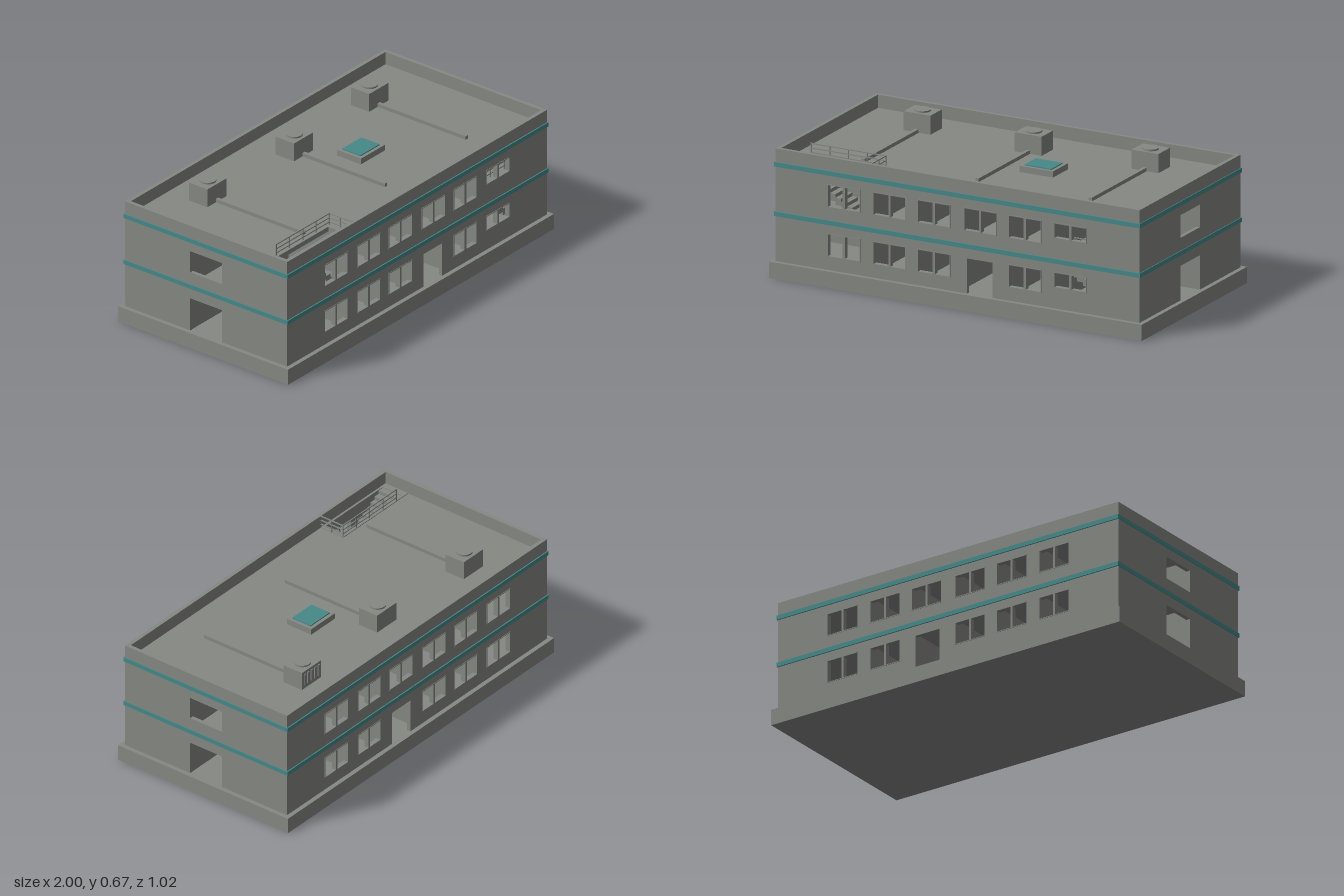
import * as THREE from 'three';

const grey = new THREE.MeshStandardMaterial({ color: 0x868884 });
grey.name = 'concreteGrey';
const teal = new THREE.MeshStandardMaterial({ color: 0x468a8a });
teal.name = 'tealTrim';

const X = 0.977, Z = 0.487, T = 0.02;      // outer half sizes and wall thickness
const BASE = 0.08, FLOOR2 = 0.325, ROOF = 0.57, TOP = 0.635;

// Rectangle given by its edges, as a Shape or as a hole
function rect(x0, x1, y0, y1, Type = THREE.Shape) {
  const s = new Type();
  s.moveTo(x0, y0);
  s.lineTo(x1, y0);
  s.lineTo(x1, y1);
  s.lineTo(x0, y1);
  s.closePath();
  return s;
}

// Flat panel [x0,x1,y0,y1] with rectangular holes, centred on its depth
function panel(name, edges, holes, depth, material = grey) {
  const shape = rect(...edges);
  holes.forEach(h => shape.holes.push(rect(...h, THREE.Path)));
  const geo = new THREE.ExtrudeGeometry(shape, { depth, bevelEnabled: false });
  geo.translate(0, 0, -depth / 2);
  const mesh = new THREE.Mesh(geo, material);
  mesh.name = name;
  return mesh;
}

// Horizontal panel: edges are x0,x1,z0,z1, resting between y0 and y1
function slab(name, edges, holes, y0, y1, material = grey) {
  const mesh = panel(name, edges, holes, y1 - y0, material);
  mesh.geometry.rotateX(Math.PI / 2);
  mesh.position.y = (y0 + y1) / 2;
  return mesh;
}

// Box given by its edges
function box(name, x0, x1, y0, y1, z0, z1, material = grey) {
  const mesh = new THREE.Mesh(new THREE.BoxGeometry(x1 - x0, y1 - y0, z1 - z0), material);
  mesh.name = name;
  mesh.position.set((x0 + x1) / 2, (y0 + y1) / 2, (z0 + z1) / 2);
  return mesh;
}

// Long wall with two rows of windows and a door; sideways small windows only on the front
function longWall(side) {
  const g = new THREE.Group();
  g.name = side > 0 ? 'frontWall' : 'backWall';
  const holes = [];
  [0.145, 0.388].forEach((sill, storey) => {
    [-0.61, -0.365, -0.127, 0.122, 0.361, 0.606].forEach((x, i) => {
      const head = sill + 0.115;
      if (storey === 0 && i === 3) {
        holes.push([0.05, 0.188, BASE, 0.253]);
        return;
      }
      const bottom = side > 0 && i === 5 ? sill + 0.037 : sill;
      const w = 0.088;
      holes.push([x - w, x + w, bottom, head]);
      const frame = panel('windowFrame', [x - w, x + w, bottom, head], [
        [x - w + 0.004, x - 0.006, bottom + 0.004, head - 0.004],
        [x + 0.006, x + w - 0.004, bottom + 0.004, head - 0.004],
      ], 0.025);
      frame.position.z = side * (Z - 0.01);
      g.add(frame);
    });
  });
  const wall = panel('wall', [-X, X, BASE - 0.001, TOP], holes, T);
  wall.position.z = side * (Z - T / 2);
  g.add(wall);
  return g;
}

// Short wall with a doorway below and a window above
function endWall(side) {
  const wall = panel(side > 0 ? 'leftWall' : 'rightWall', [-Z + T, Z - T, BASE - 0.001, TOP],
    [[-0.095, 0.095, BASE, 0.25], [-0.095, 0.095, 0.388, 0.5]], T);
  wall.rotation.y = Math.PI / 2;
  wall.position.x = side * (X - T / 2);
  return wall;
}

// Corridor walls and room partitions of one storey
function rooms(y0, y1, doors) {
  const g = new THREE.Group();
  g.name = 'rooms';
  for (const s of [-1, 1]) {
    const wall = panel('corridorWall', [-X + T, X - T, y0, y1],
      doors.map(d => [d[0], d[1], y0 + 0.001, y0 + 0.141]), 0.012);
    wall.position.z = s * 0.102;
    g.add(wall);
    for (const x of [-0.485, -0.245, -0.002, 0.242, 0.485]) {
      const z = [s * 0.108, s * (Z - T)].sort((a, b) => a - b);
      g.add(box('partition', x - 0.006, x + 0.006, y0, y1, z[0], z[1]));
    }
  }
  return g;
}

// Straight flight rising towards -x
function stairs(x0, x1, y0, y1) {
  const g = new THREE.Group();
  g.name = 'stairs';
  const n = 14, run = (x1 - x0) / n, rise = (y1 - y0) / n;
  for (let i = 0; i < n; i++) {
    const x = x1 - i * run, y = y0 + (i + 1) * rise;
    g.add(box('step', x - run, x, Math.max(y0, y - 2 * rise), y, 0.345, 0.455));
  }
  return g;
}

// Rail round a stair opening: along its inner side and across its closed end
function railing(x0, x1, y) {
  const g = new THREE.Group();
  g.name = 'railing';
  const r = 0.0025, h = 0.067, z0 = 0.335, z1 = 0.47;
  for (const k of [0.33, 0.66, 1]) {
    const yy = y + h * k;
    g.add(box('rail', x0, x1, yy - 2 * r, yy, z0 - r, z0 + r));
    g.add(box('rail', x1 - r, x1 + r, yy - 2 * r, yy, z0, z1));
  }
  for (let i = 0; i <= 4; i++) {
    const x = x0 + (x1 - x0) * i / 4;
    g.add(box('post', x - r, x + r, y, y + h, z0 - r, z0 + r));
  }
  for (const z of [z0 + 0.067, z1]) g.add(box('post', x1 - r, x1 + r, y, y + h, z - r, z + r));
  return g;
}

// Rooftop air unit with fan cap and duct
function airUnit(x, z, louvres) {
  const g = new THREE.Group();
  g.name = 'airUnit';
  g.add(box('unitBody', x - 0.072, x + 0.072, ROOF, 0.664, z - 0.055, z + 0.055));
  const cap = new THREE.Mesh(new THREE.CylinderGeometry(0.04, 0.04, 0.01, 24), grey);
  cap.name = 'fanCap';
  cap.position.set(x, 0.667, z);
  g.add(cap);
  g.add(box('duct', x - 0.009, x + 0.009, ROOF, ROOF + 0.018, z + 0.05, 0.3));
  if (louvres) for (let i = -2; i <= 2; i++) {
    const lx = x + i * 0.026;
    g.add(box('louvre', lx - 0.006, lx + 0.006, ROOF + 0.02, 0.65, z - 0.06, z - 0.054));
  }
  return g;
}

export function createModel() {
  const model = new THREE.Group();
  model.name = 'building';

  model.add(box('foundation', -1, 1, 0, BASE, -0.51, 0.51));
  for (const s of [-1, 1]) model.add(longWall(s), endWall(s));

  // Floors with stair openings
  const inner = [-X + T, X - T, -Z + T, Z - T];
  model.add(slab('upperFloor', inner, [[0.5, 0.93, 0.345, 0.455]], FLOOR2 - 0.02, FLOOR2));
  model.add(slab('roof', inner, [[-0.92, -0.49, 0.345, 0.455]], ROOF - 0.02, ROOF));

  // Teal bands round the outside
  for (const y of [0.303, 0.547]) {
    model.add(slab('band', [-0.981, 0.981, -0.493, 0.493],
      [[-X + 0.002, X - 0.002, -Z + 0.002, Z - 0.002]], y, y + 0.022, teal));
  }

  // Interior
  model.add(rooms(BASE, FLOOR2 - 0.02,
    [[-0.72, -0.62], [-0.325, -0.255], [-0.235, -0.145], [0.14, 0.23]]));
  model.add(rooms(FLOOR2, ROOF - 0.02,
    [[-0.235, -0.145], [0.05, 0.15], [0.42, 0.475], [0.61, 0.7]]));
  model.add(stairs(0.5, 0.93, BASE, FLOOR2), railing(0.53, 0.95, FLOOR2));
  model.add(stairs(-0.92, -0.49, FLOOR2, ROOF), railing(-0.87, -0.47, ROOF));
  model.add(slab('hatchCurb', [-0.955, -0.47, 0.33, 0.466], [[-0.92, -0.49, 0.345, 0.455]],
    ROOF - 0.001, ROOF + 0.004));

  // Rooftop equipment
  model.add(airUnit(-0.613, -0.28, false), airUnit(0, -0.25, false), airUnit(0.608, -0.284, true));
  model.add(box('skylightCurb', 0.1, 0.28, ROOF, ROOF + 0.03, -0.075, 0.07));
  model.add(box('skylightGlass', 0.118, 0.262, ROOF + 0.029, ROOF + 0.035, -0.057, 0.053, teal));

  return model;
}
